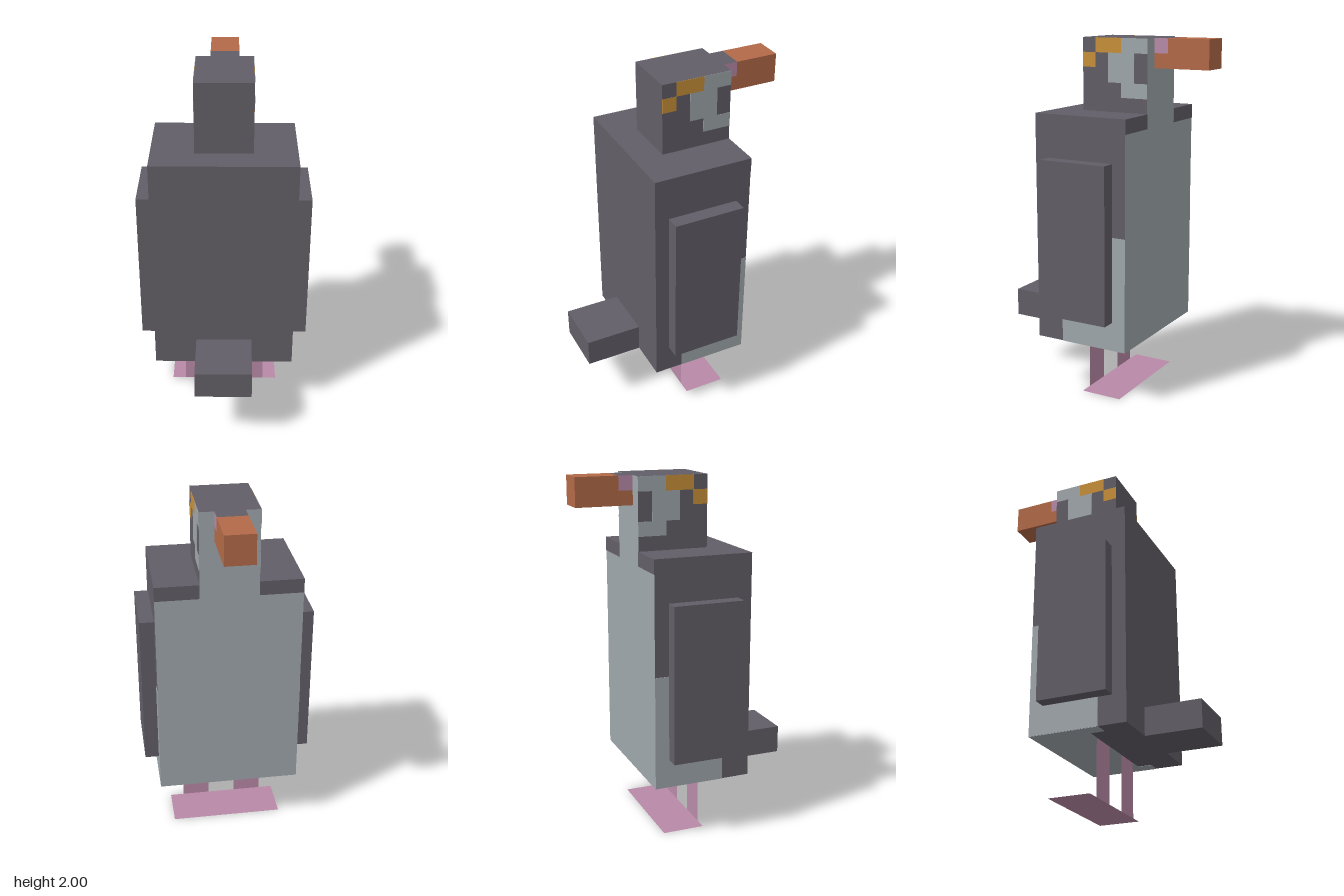
import * as THREE from 'three';

const mat = (name, color) => {
  const m = new THREE.MeshStandardMaterial({ color });
  m.name = name;
  return m;
};

export function createModel() {
  const dark = mat('dark plumage', 0x625e67);
  const light = mat('pale plumage', 0xa0a8ad);
  const pink = mat('pink skin', 0xb98aa8);
  const orange = mat('orange beak', 0xb36a48);
  const yellow = mat('yellow crest', 0xc99039);
  pink.side = THREE.DoubleSide;

  const model = new THREE.Group();
  model.name = 'bird';

  // Box from its extents; material may be an array (+x, -x, +y, -y, +z, -z)
  const box = (name, material, [x0, x1], [y0, y1], [z0, z1], parent = model) => {
    const mesh = new THREE.Mesh(new THREE.BoxGeometry(x1 - x0, y1 - y0, z1 - z0), material);
    mesh.position.set((x0 + x1) / 2, (y0 + y1) / 2, (z0 + z1) / 2);
    mesh.name = name;
    parent.add(mesh);
    return mesh;
  };
  const T = 0.002; // thickness of painted plates

  // Thin patch on both flanks of a part whose sides lie at x = +-w
  const sidePatches = (name, material, w, ys, zs) => {
    box(name + 'Left', material, [w, w + T], ys, zs);
    box(name + 'Right', material, [-w - T, -w], ys, zs);
  };

  // Body with pale breast
  box('body', [dark, dark, dark, dark, dark, light], [-0.4, 0.4], [0.32, 1.6], [-0.28, 0.28]);
  sidePatches('flankBreast', light, 0.4, [0.48, 0.96], [-0.28, -0.2]);
  sidePatches('flankBelly', light, 0.4, [0.32, 0.48], [-0.28, 0.12]);
  box('belly', light, [-0.4, 0.4], [0.32 - T, 0.32], [-0.28, 0.04]);
  for (const s of [-1, 1]) {
    const side = s > 0 ? 'Left' : 'Right';
    const span = (a, b) => (s > 0 ? [a, b] : [-b, -a]);
    box('bellyEdge' + side, light, span(0.32, 0.4), [0.32 - T, 0.32], [0.04, 0.12]);
    box('shoulder' + side, dark, span(0.16, 0.4), [1.52, 1.6], [-0.28 - T, -0.28]);
    box('wing' + side, dark, span(0.4, 0.48), [0.48, 1.36], [-0.2, 0.2]);

    // Flat leg
    const leg = new THREE.Mesh(new THREE.PlaneGeometry(0.16, 0.32), pink);
    leg.position.set(s * 0.16, 0.16, 0.04);
    leg.name = 'leg' + side;
    model.add(leg);
  }

  // Flat webbed feet
  const feet = new THREE.Mesh(new THREE.PlaneGeometry(0.64, 0.24).rotateX(-Math.PI / 2), pink);
  feet.position.set(0, 0, -0.08);
  feet.name = 'feet';
  model.add(feet);

  box('tail', dark, [-0.16, 0.16], [0.32, 0.48], [0.28, 0.6]);

  // Head with face markings
  box('head', [dark, dark, dark, dark, dark, light], [-0.16, 0.16], [1.6, 2], [-0.28, 0.12]);
  sidePatches('crestFront', yellow, 0.16, [1.92, 2], [-0.12, 0.04]);
  sidePatches('crestBack', yellow, 0.16, [1.84, 1.92], [0.04, 0.12]);
  sidePatches('brow', light, 0.16, [1.92, 2], [-0.28, -0.12]);
  sidePatches('cheek', light, 0.16, [1.76, 1.92], [-0.2, -0.04]);
  sidePatches('throat', light, 0.16, [1.68, 1.76], [-0.28, -0.12]);

  // Beak with dark, pink-sided base
  box('beak', orange, [-0.08, 0.08], [1.84, 2], [-0.6, -0.36]);
  box('beakBaseLower', orange, [-0.08, 0.08], [1.84, 1.92], [-0.36, -0.28]);
  box('beakBaseUpper', [pink, pink, dark, orange, orange, orange],
    [-0.08, 0.08], [1.92, 2], [-0.36, -0.28]);

  return model;
}
